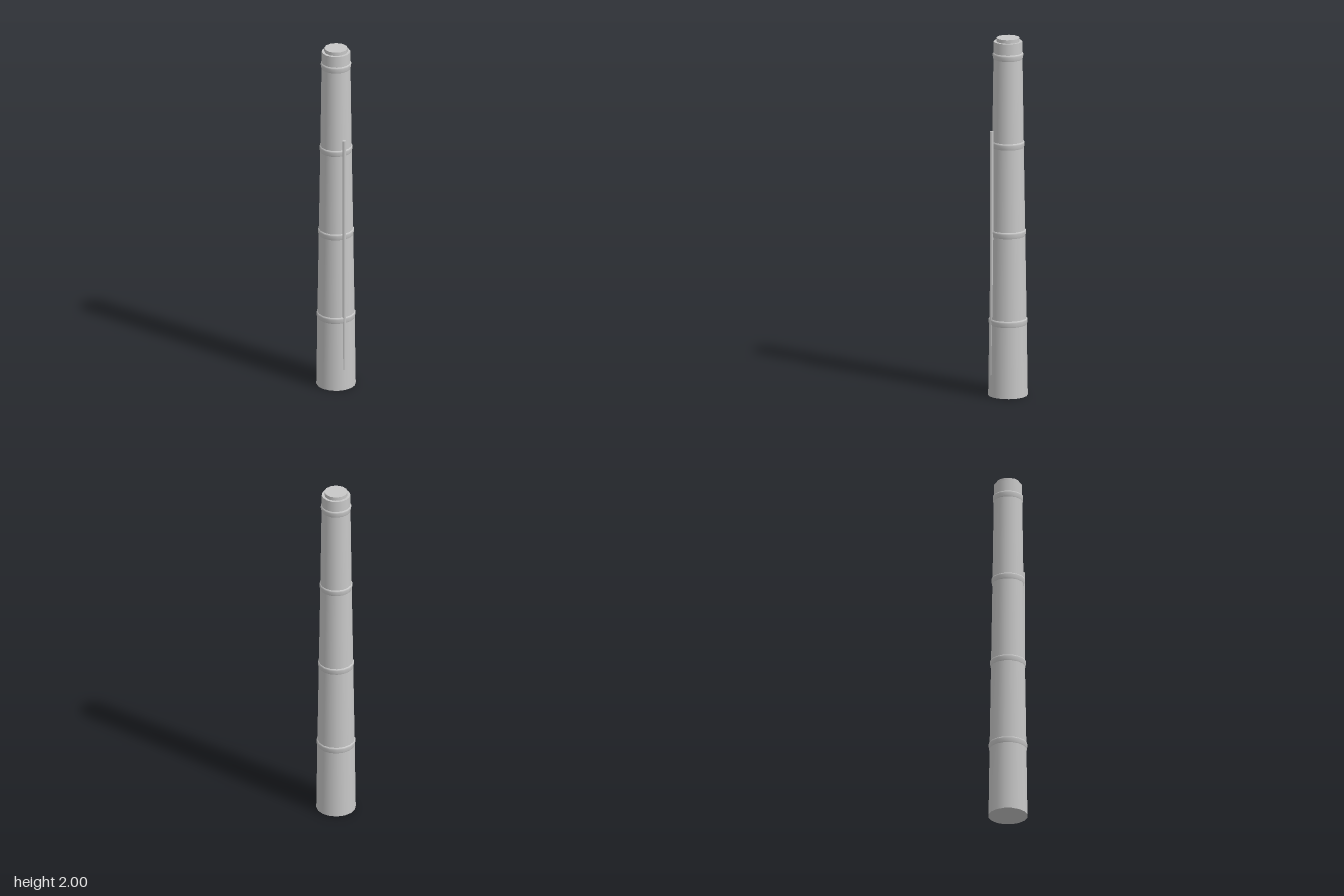
import * as THREE from 'three';

export function createModel() {
  const model = new THREE.Group();
  const metal = new THREE.MeshStandardMaterial({ color: 0xc8c8c8 });
  metal.name = 'pale grey metal';

  const add = (name, geometry, y, z = 0) => {
    const mesh = new THREE.Mesh(geometry, metal);
    mesh.name = name;
    mesh.position.set(0, y, z);
    model.add(mesh);
  };
  // Frustum standing between two heights
  const frustum = (name, rBottom, rTop, y0, y1, sides = 16, z = 0) =>
    add(name, new THREE.CylinderGeometry(rTop, rBottom, y1 - y0, sides), (y0 + y1) / 2, z);

  // Tapering column, built as stacked sections
  const heights = [0, 0.42, 0.915, 1.41, 1.905, 1.98];
  const radii = [0.108, 0.102, 0.094, 0.086, 0.079, 0.078];
  for (let i = 0; i < 5; i++) {
    frustum('columnSection' + (i + 1), radii[i], radii[i + 1], heights[i], heights[i + 1]);
  }

  // Raised joint collars, flaring slightly towards a rounded upper lip
  for (let i = 1; i < 5; i++) {
    const r = radii[i];
    const profile = [[-0.024, 0], [-0.016, 0.003], [0.002, 0.005], [0.009, 0.004], [0.013, -0.002]]
      .map(([y, out]) => new THREE.Vector2(r + out, y));
    add('jointCollar' + i, new THREE.LatheGeometry(profile, 16), heights[i]);
  }

  // Top cap
  frustum('topCap', 0.064, 0.064, 1.97, 2.0, 12);

  // Thin conduit running up the front
  frustum('frontConduit', 0.011, 0.011, 0.12, 1.485, 8, 0.098);

  return model;
}
